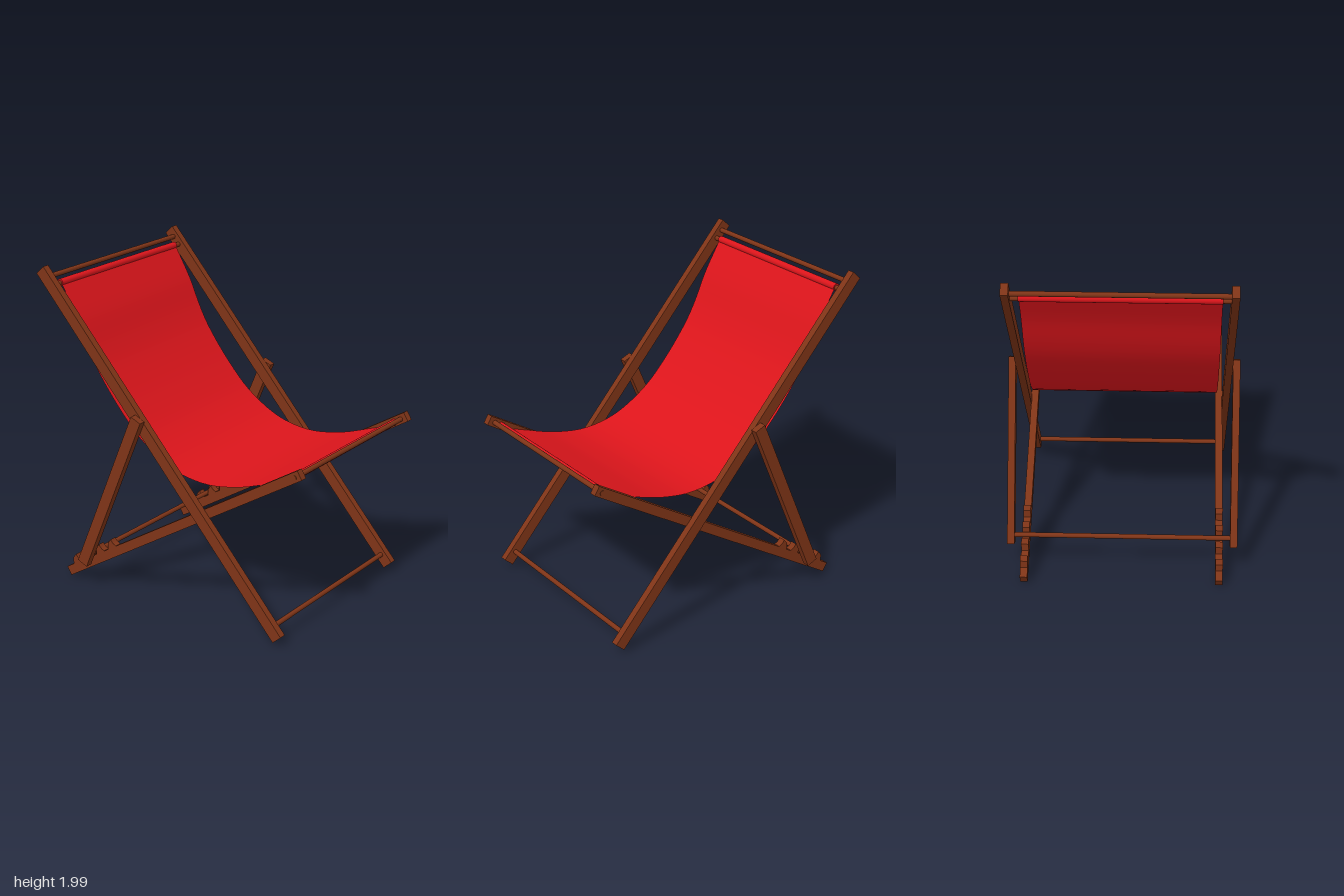
import * as THREE from 'three';

const wood = new THREE.MeshStandardMaterial({ color: 0x7f3417 });
const red = new THREE.MeshStandardMaterial({ color: 0xdd151b, side: THREE.DoubleSide });

// Straight timber in a z/y plane, from a = [z, y] to b = [z, y]
function beam(name, x, a, b, width, thickness) {
  const dz = b[0] - a[0], dy = b[1] - a[1];
  const mesh = new THREE.Mesh(new THREE.BoxGeometry(thickness, Math.hypot(dz, dy), width), wood);
  mesh.position.set(x, (a[1] + b[1]) / 2, (a[0] + b[0]) / 2);
  mesh.rotation.x = Math.atan2(dz, dy);
  mesh.name = name;
  return mesh;
}

// Round bar running across the chair
function bar(name, z, y, length, radius = 0.015, material = wood) {
  const mesh = new THREE.Mesh(new THREE.CylinderGeometry(radius, radius, length, 16), material);
  mesh.rotation.z = Math.PI / 2;
  mesh.position.set(0, y, z);
  mesh.name = name;
  return mesh;
}

// Hooked notch tooth, drawn in z/y with its tip at the origin
function toothGeometry(depth) {
  const shape = new THREE.Shape();
  shape.moveTo(0.04, -0.045);
  shape.lineTo(-0.022, -0.085);
  shape.lineTo(-0.022, -0.028);
  shape.lineTo(0, 0);
  shape.quadraticCurveTo(0.012, -0.025, 0.04, -0.032);
  const geometry = new THREE.ExtrudeGeometry(shape, { depth, bevelEnabled: false, curveSegments: 5 });
  geometry.translate(0, 0, -depth / 2);
  geometry.rotateY(-Math.PI / 2);
  return geometry;
}

// Hanging cloth: a plane whose rows follow a sagging curve
function slingGeometry() {
  const profile = [
    [-0.845, 1.9], [-0.70, 1.69], [-0.63, 1.535], [-0.555, 1.4], [-0.38, 1.175], [-0.215, 1.016],
    [0.01, 0.893], [0.236, 0.857], [0.46, 0.89], [0.63, 0.945], [0.845, 1.022],
  ];
  // The top end leaves the back of its sleeve
  profile[0] = [-0.813, 1.885];
  const curve = new THREE.CatmullRomCurve3(profile.map(([z, y]) => new THREE.Vector3(0, y, z)));
  const rows = 40;
  const geometry = new THREE.PlaneGeometry(1.11, 1, 1, rows);
  const p = geometry.attributes.position;
  for (let i = 0; i < p.count; i++) {
    const point = curve.getPointAt(Math.floor(i / 2) / rows);
    p.setXYZ(i, p.getX(i), point.y, point.z);
  }
  geometry.computeVertexNormals();
  return geometry;
}

export function createModel() {
  const chair = new THREE.Group();
  chair.name = 'deckChair';

  const seatFront = [0.92, 1.0875], seatRear = [-0.795, 0.035];
  const slope = (seatFront[1] - seatRear[1]) / (seatFront[0] - seatRear[0]);
  const tooth = toothGeometry(0.044);

  for (const [side, s] of [['left', 1], ['right', -1]]) {
    // Side timbers: back frame outside the seat frame, prop outermost
    chair.add(
      beam(side + 'BackRail', s * 0.621, [0.808, 0.055], [-0.905, 1.977], 0.073, 0.044),
      beam(side + 'SeatRail', s * 0.58, seatFront, seatRear, 0.06, 0.044),
      beam(side + 'Prop', s * 0.667, [-0.61, 0.17], [-0.165, 1.203], 0.073, 0.043),
    );
    // Teeth that hold the prop bar
    const teeth = new THREE.Group();
    teeth.name = side + 'Notches';
    for (const z of [-0.45, -0.545, -0.64, -0.735]) {
      const mesh = new THREE.Mesh(tooth, wood);
      mesh.name = 'notchTooth';
      mesh.position.set(s * 0.58, seatRear[1] + (z - seatRear[0]) * slope + 0.094, z);
      teeth.add(mesh);
    }
    chair.add(teeth);
  }

  // Cross bars
  chair.add(
    bar('topBar', -0.868, 1.935, 1.21),
    bar('upperClothBar', -0.828, 1.89, 1.21),
    bar('frontBar', 0.885, 1.066, 1.21),
    bar('lowerClothBar', 0.845, 1.04, 1.17),
    bar('footBar', 0.757, 0.115, 1.21),
    bar('propBar', -0.59, 0.218, 1.3),
  );

  // Cloth with sleeves around its two bars
  const sling = new THREE.Mesh(slingGeometry(), red);
  sling.name = 'sling';
  chair.add(
    sling,
    bar('upperSleeve', -0.828, 1.893, 1.11, 0.022, red),
    bar('lowerSleeve', 0.845, 1.04, 1.11, 0.02, red),
  );
  return chair;
}
